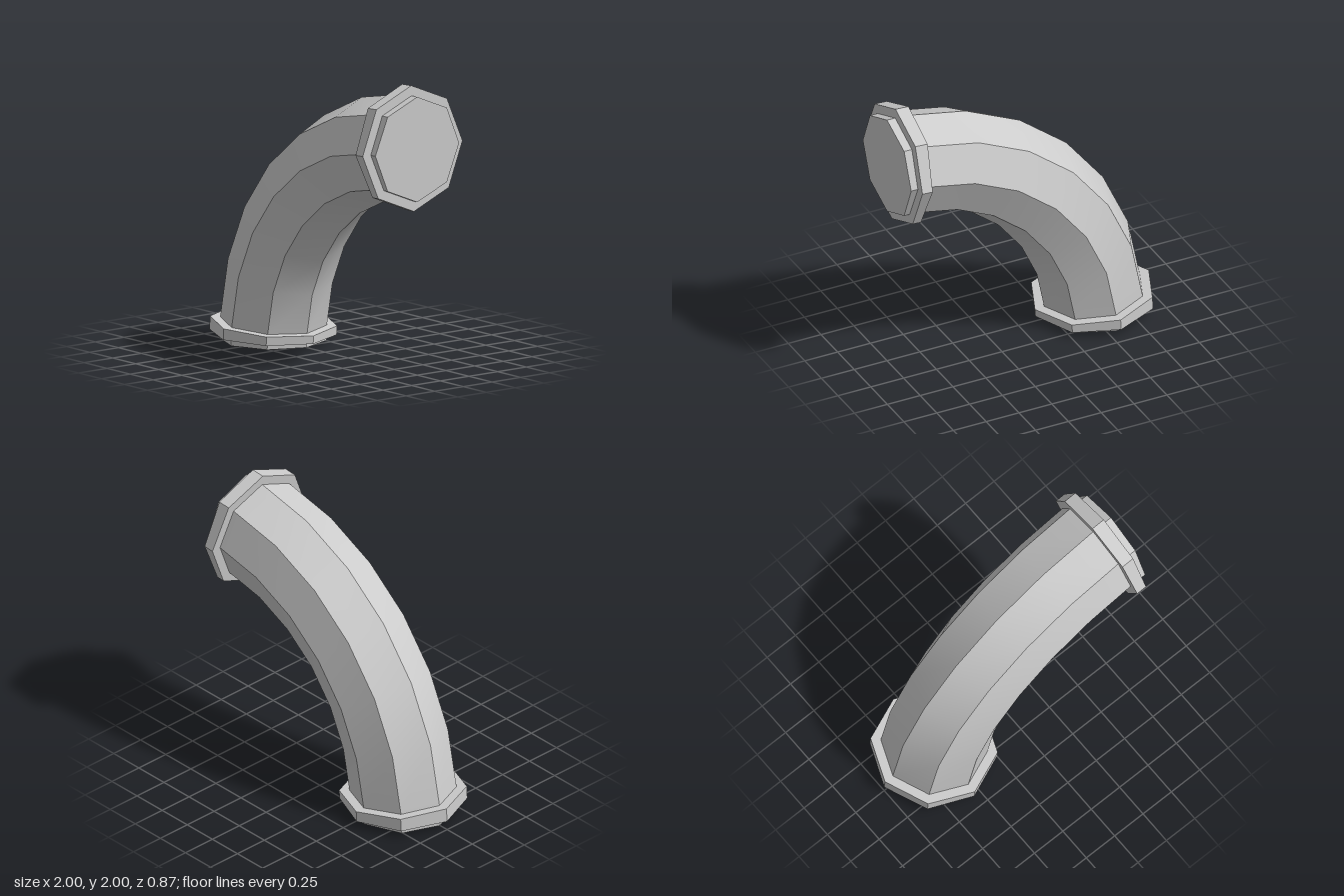
import * as THREE from 'three';
import { toCreasedNormals } from 'three/addons/utils/BufferGeometryUtils.js';

const SIDES = 8;
const BEND = 1.565; // centre line radius of the elbow, turning about (1, 0)
const PIPE = 0.365;
const FLANGE = 0.435;
const FLANGE_START = 1.85; // degrees along the bend
const FLANGE_END = 4.7;

// Point on an octagonal ring placed along the bend
function ringPoint([degrees, radius], side) {
  const t = THREE.MathUtils.degToRad(degrees);
  const a = (side % SIDES) / SIDES * Math.PI * 2;
  const d = BEND + radius * Math.cos(a);
  return [1 - d * Math.cos(t), d * Math.sin(t), radius * Math.sin(a)];
}

// Skin a list of [degrees, radius] rings; radius 0 closes an end
function sweep(name, rings, material) {
  const positions = [];
  for (let i = 0; i < rings.length - 1; i++) {
    for (let j = 0; j < SIDES; j++) {
      const a = ringPoint(rings[i], j);
      const b = ringPoint(rings[i], j + 1);
      const c = ringPoint(rings[i + 1], j + 1);
      const d = ringPoint(rings[i + 1], j);
      if (rings[i][1] > 0) positions.push(...a, ...b, ...c);
      if (rings[i + 1][1] > 0) positions.push(...a, ...c, ...d);
    }
  }
  const geometry = new THREE.BufferGeometry();
  geometry.setAttribute('position', new THREE.Float32BufferAttribute(positions, 3));
  const mesh = new THREE.Mesh(toCreasedNormals(geometry, 0.5), material);
  mesh.name = name;
  return mesh;
}

export function createModel() {
  const group = new THREE.Group();
  group.name = 'pipeElbow';
  const material = new THREE.MeshStandardMaterial({ color: 0xcccccc });

  // Curved pipe between the two flanges
  const bend = [];
  const segments = 6;
  for (let i = 0; i <= segments; i++) {
    bend.push([FLANGE_END + (90 - 2 * FLANGE_END) * i / segments, PIPE]);
  }
  group.add(sweep('pipeBend', bend, material));

  // Closed pipe end, short collar and raised flange
  const end = [
    [0, 0], [0, PIPE], [FLANGE_START, PIPE],
    [FLANGE_START, FLANGE], [FLANGE_END, FLANGE], [FLANGE_END, PIPE],
  ];
  group.add(sweep('bottomFlange', end, material));

  // Same end mirrored at the other side of the bend
  const mirrored = end.map(([degrees, radius]) => [90 - degrees, radius]).reverse();
  group.add(sweep('topFlange', mirrored, material));

  return group;
}
